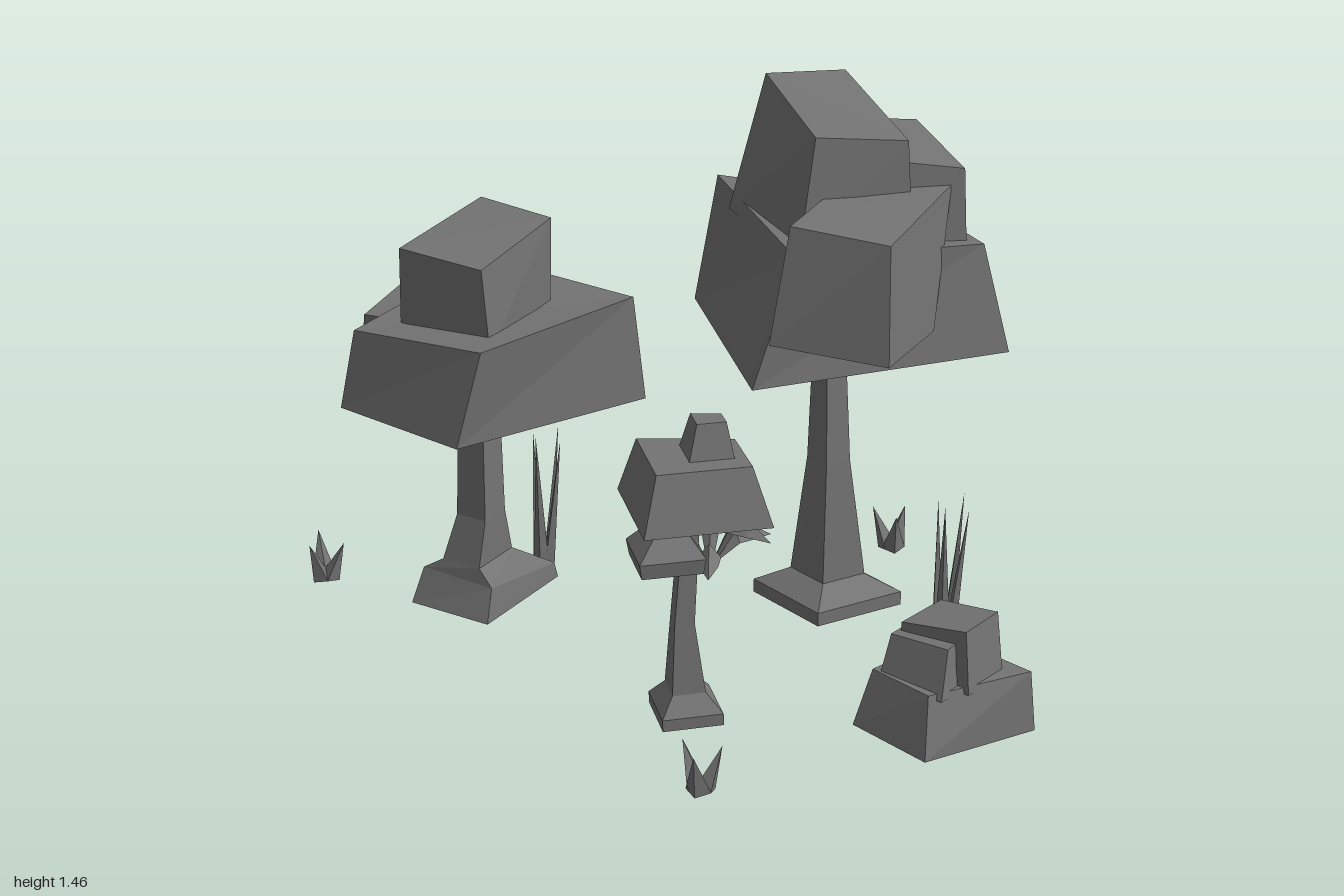
import * as THREE from 'three';

const material = new THREE.MeshStandardMaterial({ color: 0x747474, flatShading: true });
const leafMaterial = new THREE.MeshStandardMaterial({ color: 0x747474, flatShading: true, side: THREE.DoubleSide });

// Closed flat-sided solid through rings of corners (counter-clockwise from above)
function loft(name, rings) {
  const pos = [];
  const tri = (a, b, c) => pos.push(...a, ...b, ...c);
  const n = rings[0].length;
  for (let k = 0; k + 1 < rings.length; k++) {
    const a = rings[k], b = rings[k + 1];
    for (let i = 0; i < n; i++) {
      const j = (i + 1) % n;
      tri(a[i], a[j], b[j]);
      tri(a[i], b[j], b[i]);
    }
  }
  const bottom = rings[0], top = rings[rings.length - 1];
  for (let i = 1; i + 1 < n; i++) {
    tri(bottom[0], bottom[i + 1], bottom[i]);
    tri(top[0], top[i], top[i + 1]);
  }
  const g = new THREE.BufferGeometry();
  g.setAttribute('position', new THREE.Float32BufferAttribute(pos, 3));
  g.computeVertexNormals();
  const mesh = new THREE.Mesh(g, material);
  mesh.name = name;
  return mesh;
}

// Four-cornered ring around a centre; turn is in radians
function ring(x, y, z, hx, hz = hx, turn = 0) {
  const c = Math.cos(turn), s = Math.sin(turn);
  return [[-1, 1], [1, 1], [1, -1], [-1, -1]].map(([a, b]) =>
    [x + a * hx * c + b * hz * s, y, z - a * hx * s + b * hz * c]);
}

function group(name, ...children) {
  const g = new THREE.Group();
  g.name = name;
  if (children.length) g.add(...children);
  return g;
}

// Branch: square tube through points, tapering
function branch(points, r0, r1) {
  return loft('branch', points.map(([x, y, z], i) => ring(x, y, z, r0 + (r1 - r0) * i / (points.length - 1), undefined, 0.6)));
}

// Tuft of pointed blades, each [turn, lean, height]
function tuft(name, x, z, radius, spread, blades) {
  const g = group(name);
  g.position.set(x, 0.05, z);
  for (const [turn, lean, h] of blades) {
    const geo = new THREE.ConeGeometry(radius, h, 4);
    geo.translate(0, h / 2, 0);
    geo.scale(0.8, 1, 1);
    geo.rotateZ(-lean);
    geo.translate(spread, 0, 0);
    geo.rotateY(turn);
    const blade = new THREE.Mesh(geo, material);
    blade.name = 'grassBlade';
    g.add(blade);
  }
  return g;
}

// Steeply folded arching leaf pointing along +x
function leaf(length, peak, tip, width) {
  const spine = [[0.01, 0.0, 0.25], [length * 0.4, peak, 1], [length * 0.68, peak - 0.01, 0.8], [length, tip, 0.03]];
  const pos = [], index = [];
  spine.forEach(([x, y, w], i) => {
    const h = w * width / 2;
    pos.push(x, y - h * 1.2, -h, x, y, 0, x, y - h * 1.2, h);
    if (i) {
      for (const k of [0, 1]) {
        const a = (i - 1) * 3 + k, b = a + 3;
        index.push(a, a + 1, b + 1, a, b + 1, b);
      }
    }
  });
  const geo = new THREE.BufferGeometry();
  geo.setAttribute('position', new THREE.Float32BufferAttribute(pos, 3));
  geo.setIndex(index);
  geo.computeVertexNormals();
  const mesh = new THREE.Mesh(geo, leafMaterial);
  mesh.name = 'leaf';
  return mesh;
}

function wideTree() {
  return group('wideTree',
    loft('trunk', [
      ring(-0.555, 0.035, 0.11, 0.122, 0.165),
      [[-0.66, 0.13, 0.24], [-0.445, 0.12, 0.235], [-0.437, 0.08, -0.045], [-0.665, 0.08, -0.04]],
      ring(-0.545, 0.165, 0.155, 0.058, 0.075),
      ring(-0.53, 0.29, 0.155, 0.045), ring(-0.53, 0.64, 0.15, 0.038)]),
    loft('mainCanopy', [
      [[-0.785, 0.62, 0.4], [-0.4, 0.605, 0.43], [-0.19, 0.59, -0.12], [-0.71, 0.6, -0.17]],
      [[-0.755, 0.83, 0.37], [-0.35, 0.86, 0.385], [-0.2, 0.885, -0.08], [-0.7, 0.88, -0.13]]]),
    loft('topCanopy', [
      [[-0.67, 0.82, 0.285], [-0.39, 0.82, 0.29], [-0.39, 0.82, 0.02], [-0.62, 0.82, 0]],
      [[-0.67, 1.04, 0.28], [-0.41, 1.035, 0.29], [-0.385, 1.095, 0.015], [-0.62, 1.1, -0.01]]]),
    loft('sideCanopy', [
      [[-0.85, 0.64, 0.23], [-0.7, 0.62, 0.23], [-0.7, 0.64, 0.04], [-0.85, 0.66, 0.04]],
      [[-0.83, 0.81, 0.23], [-0.7, 0.82, 0.23], [-0.7, 0.83, 0.02], [-0.86, 0.825, 0.025]]]));
}

function tallTree() {
  const cx = 0.245, cz = -0.33;
  const foot = (y, s) => [[-0.185, 0.07], [0.06, 0.155], [0.185, -0.07], [-0.06, -0.155]]
    .map(([x, z]) => [cx + x * s, y, cz + z * s]);
  return group('tallTree',
    loft('trunk', [foot(0.032, 1), foot(0.07, 1), foot(0.115, 0.5),
      ring(0.25, 0.45, -0.315, 0.042, 0.038, -0.42), ring(0.25, 0.85, -0.305, 0.028, 0.028, -0.42)]),
    branch([[0.24, 0.56, -0.33], [0.16, 0.68, -0.44], [0.1, 0.84, -0.51]], 0.03, 0.018),
    branch([[0.26, 0.7, -0.29], [0.34, 0.76, -0.2], [0.4, 0.84, -0.13]], 0.025, 0.016),
    loft('mainCanopy', [
      [[-0.175, 0.8, -0.34], [0.28, 0.81, 0.135], [0.735, 0.84, -0.35], [0.39, 0.83, -0.655]],
      [[-0.13, 1.14, -0.38], [0.35, 1.14, 0.05], [0.66, 1.115, -0.34], [0.36, 1.11, -0.54]]]),
    loft('topCanopy', [
      [[-0.03, 1.1, -0.27], [0.31, 1.1, -0.03], [0.52, 1.1, -0.23], [0.18, 1.1, -0.5]],
      [[0.04, 1.455, -0.33], [0.32, 1.4, -0.09], [0.5, 1.385, -0.23], [0.18, 1.445, -0.49]]]),
    loft('upperSideCanopy', [
      [[0.23, 1.05, -0.42], [0.49, 1.05, -0.22], [0.62, 1.05, -0.33], [0.36, 1.05, -0.57]],
      [[0.25, 1.345, -0.43], [0.48, 1.32, -0.25], [0.6, 1.3, -0.34], [0.36, 1.33, -0.54]]]),
    loft('frontCanopy', [
      [[0.34, 0.95, 0.16], [0.63, 0.93, 0.09], [0.6, 0.92, -0.2], [0.32, 0.95, -0.15]],
      [[0.36, 1.24, 0.1], [0.61, 1.225, 0.06], [0.575, 1.26, -0.32], [0.33, 1.26, -0.28]]]),
    loft('backCanopy', [
      [[-0.1, 0.8, -0.65], [0.0, 0.82, -0.41], [0.28, 0.82, -0.5], [0.17, 0.79, -0.77]],
      [[-0.07, 1.155, -0.665], [0.04, 1.19, -0.42], [0.29, 1.19, -0.54], [0.18, 1.13, -0.775]]]));
}

function smallTree() {
  // Canopy ring scaled about its middle
  const cap = (x, y, z, s) => [[-0.23, 0], [-0.02, 0.21], [0.205, -0.01], [0.045, -0.165]]
    .map(([a, b]) => [x + a * s, y, z + b * s]);
  const turned = (x, y, z, h) => ring(x, y, z, h, h, Math.PI / 4);
  return group('smallTree',
    loft('trunk', [
      turned(0.255, 0.033, 0.4, 0.077), turned(0.255, 0.065, 0.402, 0.077), turned(0.255, 0.112, 0.405, 0.042),
      turned(0.255, 0.3, 0.418, 0.025), turned(0.27, 0.62, 0.405, 0.02)]),
    loft('mainCanopy', [cap(0.285, 0.595, 0.395, 1), cap(0.28, 0.742, 0.395, 0.74)]),
    loft('topCanopy', [cap(0.3, 0.72, 0.375, 0.38), cap(0.3, 0.83, 0.37, 0.23)]),
    loft('lowerCanopy', [cap(0.23, 0.455, 0.445, 0.48), cap(0.23, 0.495, 0.445, 0.52), cap(0.23, 0.545, 0.44, 0.28)]));
}

function rocks() {
  return group('rocks',
    loft('baseRock', [
      [[0.625, 0.025, 0.22], [0.85, 0.01, 0.268], [1, 0, -0.03], [0.71, 0.015, -0.1]],
      [[0.655, 0.17, 0.18], [0.83, 0.165, 0.222], [0.99, 0.168, -0.015], [0.725, 0.165, -0.08]]]),
    loft('backRock', [
      [[0.7, 0.15, 0.13], [0.9, 0.15, 0.145], [0.925, 0.15, 0.01], [0.74, 0.15, -0.02]],
      [[0.7, 0.285, 0.12], [0.88, 0.31, 0.13], [0.905, 0.32, 0.01], [0.74, 0.3, -0.01]]]),
    loft('frontRock', [
      [[0.675, 0.15, 0.185], [0.86, 0.15, 0.21], [0.88, 0.15, 0.07], [0.71, 0.15, 0.05]],
      [[0.685, 0.26, 0.145], [0.85, 0.27, 0.165], [0.86, 0.275, 0.06], [0.71, 0.27, 0.05]]]));
}

export function createModel() {
  const model = group('lowPolyGrove', wideTree(), tallTree(), smallTree(), rocks());

  // Leafy plant with alternating raised and drooping leaves
  const plant = group('leafyPlant');
  plant.position.set(-0.12, 0.05, -0.33);
  for (let i = 0; i < 6; i++) {
    const blade = i % 2 ? leaf(0.19, 0.085, 0.035, 0.065) : leaf(0.19, 0.155, 0.1, 0.07);
    blade.rotation.y = i * Math.PI / 3;
    plant.add(blade);
  }
  model.add(plant);

  // Tall and short grass
  const tall = [[1.2, 0.1, 0.41], [-1.2, 0.1, 0.41], [0.1, 0.11, 0.39], [3, 0.03, 0.4]];
  model.add(tuft('tallGrass', 0.635, -0.24, 0.022, 0.016, tall));
  model.add(tuft('tallGrass', -0.48, -0.055, 0.022, 0.016, tall));
  for (const [x, z, turn] of [[-0.95, 0.295, 0], [0.485, 0.71, 0.5], [0.26, -0.67, 1]]) {
    const short = tuft('shortGrass', x, z, 0.032, 0.014, [[0.4, 0.38, 0.11], [2.5, 0.35, 0.12], [4.4, 0.3, 0.11]]);
    short.rotation.y = turn;
    model.add(short);
  }
  return model;
}
